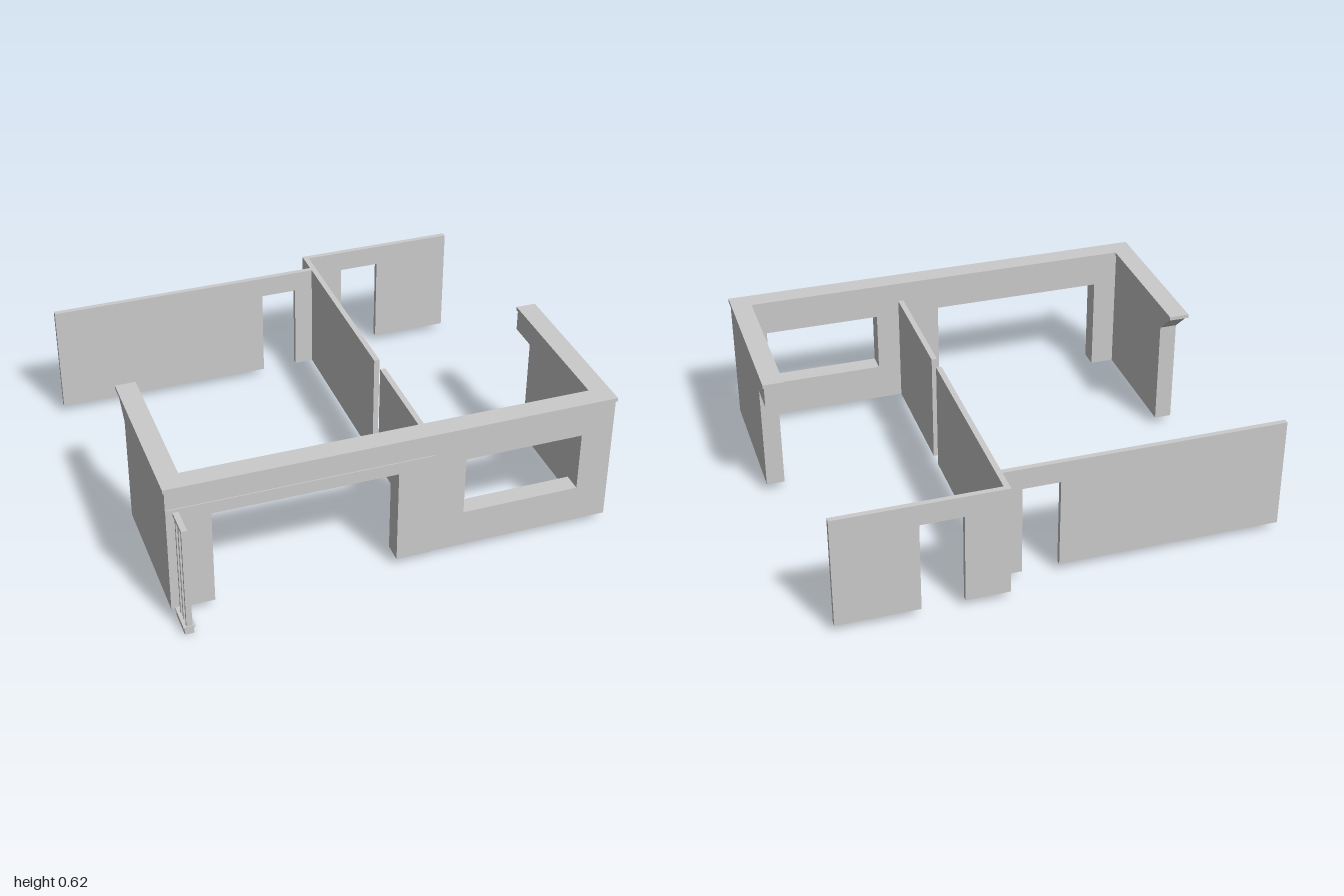
import * as THREE from 'three';

const material = new THREE.MeshStandardMaterial({ color: 0xcccccc, flatShading: true, side: THREE.DoubleSide });
const FLOOR = 0.035, WALL_TOP = 0.605, INNER_TOP = 0.53, DOOR_TOP = 0.437;

function prism(points, depth, hole) {
  const toVectors = list => list.map(([a, b]) => new THREE.Vector2(a, b));
  const shape = new THREE.Shape(toVectors(points));
  if (hole) shape.holes.push(new THREE.Path(toVectors(hole)));
  return new THREE.ExtrudeGeometry(shape, { depth, bevelEnabled: false });
}

// Outline drawn in x and y, extruded between two z values
const acrossX = (points, z0, z1, hole) => prism(points, z1 - z0, hole).translate(0, 0, z0);

// Outline drawn in z and y, extruded between two x values
const acrossZ = (points, x0, x1) => prism(points, x1 - x0).rotateY(-Math.PI / 2).translate(x1, 0, 0);

const rect = (a0, b0, a1, b1) => [[a0, b0], [a1, b0], [a1, b1], [a0, b1]];

// Wall outline with a doorway cut up from the floor
const withDoor = (a0, a1, top, d0, d1, doorTop) => [
  [a0, FLOOR], [d0, FLOOR], [d0, doorTop], [d1, doorTop],
  [d1, FLOOR], [a1, FLOOR], [a1, top], [a0, top],
];

export function createModel() {
  const group = new THREE.Group();
  const add = (name, geometry, parent = group) => {
    const mesh = new THREE.Mesh(geometry, material);
    mesh.name = name;
    parent.add(mesh);
  };

  // Thick front wall with a wide opening and a window
  add('frontWall', acrossX(
    withDoor(-0.9, 0.99, WALL_TOP, -0.72, 0.05, 0.465), 0.69, 0.772,
    rect(0.34, 0.2, 0.85, 0.465)));
  add('frontCladding', acrossX(withDoor(-0.9, 0.2, 0.52, -0.72, 0.05, 0.465), 0.772, 0.776));

  // Thick side walls, each with a lintel reaching past its rear end
  add('leftSideWall', acrossZ([
    [0.13, FLOOR], [0.69, FLOOR], [0.69, WALL_TOP],
    [-0.008, WALL_TOP], [-0.008, 0.51], [0.13, 0.51],
  ], 0.912, 0.99));
  add('rightSideWall', acrossZ([
    [0.13, FLOOR], [0.69, FLOOR], [0.69, WALL_TOP],
    [0.025, WALL_TOP], [0.13, 0.51],
  ], -0.9, -0.825));

  // U-shaped coping, slightly wider than the walls
  add('coping', prism([
    [-0.907, 0.02], [-0.907, 0.777], [0.996, 0.777], [0.996, -0.015],
    [0.908, -0.015], [0.908, 0.687], [-0.82, 0.687], [-0.82, 0.02],
  ], 0.016).rotateX(Math.PI / 2).translate(0, 0.62, 0));

  // Thin partition in two lengths, with a passage between them
  add('frontPartition', acrossZ(rect(0.13, FLOOR, 0.69, INNER_TOP), 0.213, 0.237));
  add('rearPartition', acrossZ(rect(-0.905, FLOOR, 0.06, INNER_TOP), 0.213, 0.237));

  // Thin back walls with doorways
  add('rightBackWall', acrossX(withDoor(-1, 0.213, INNER_TOP, -0.03, 0.13, DOOR_TOP), -0.793, -0.77));
  add('leftBackWall', acrossX(withDoor(0.237, 0.93, INNER_TOP, 0.4, 0.58, DOOR_TOP), -0.905, -0.882));

  // Short railing on a plinth, standing out from the front corner
  const railing = new THREE.Group();
  railing.name = 'railing';
  group.add(railing);
  add('plinth', acrossZ(rect(0.772, 0, 0.899, 0.034), -0.88, -0.842), railing);
  add('plinthCap', acrossZ(rect(0.772, 0.034, 0.904, 0.04), -0.885, -0.837), railing);
  for (const z of [0.811, 0.852, 0.893])
    add('railPost', acrossZ(rect(z - 0.006, 0.04, z + 0.006, 0.492), -0.872, -0.848), railing);
  add('topRail', acrossZ(rect(0.772, 0.492, 0.899, 0.506), -0.872, -0.848), railing);

  return group;
}
